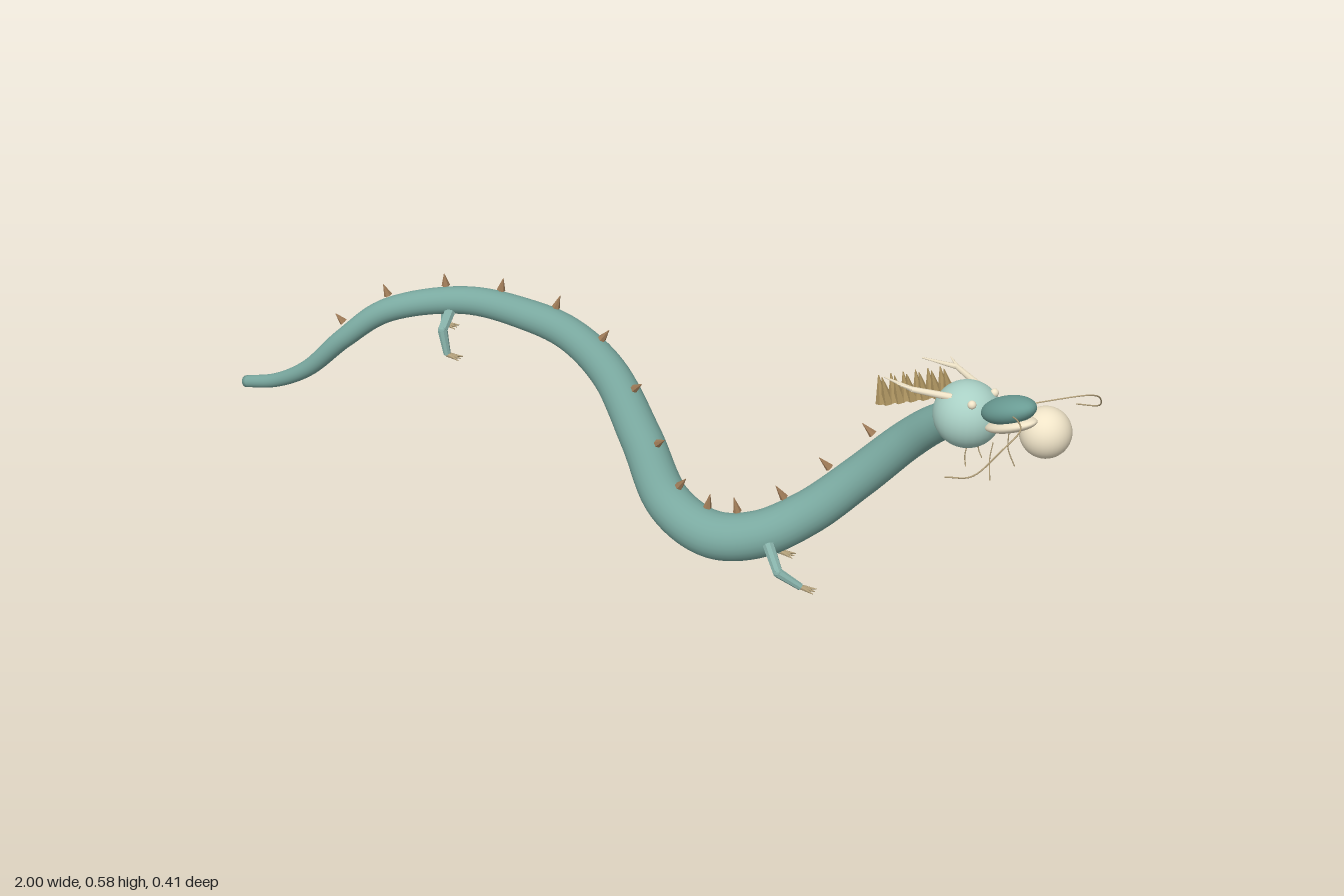
import * as THREE from 'three';

const V = (x, y, z) => new THREE.Vector3(x, y, z);
const UP = V(0, 1, 0);
const mat = (color, flatShading = false) => new THREE.MeshStandardMaterial({ color, flatShading });
const teal = mat(0x7aa9a0), paleTeal = mat(0xa9d0c5), darkTeal = mat(0x6a9c94);
const legTeal = mat(0x86b0a8, true), cream = mat(0xf0e4c8), tan = mat(0xb5a27c);
const brown = mat(0xa07c58, true), crestTan = mat(0xab925f, true);

// Body centreline: x, y, z, radius
const PATH = [
  [-1, 0.16, -0.035, 0.014], [-0.9, 0.2, -0.01, 0.016], [-0.8, 0.265, 0.01, 0.019], [-0.7, 0.365, 0.01, 0.023],
  [-0.6, 0.445, -0.015, 0.027], [-0.43, 0.482, -0.068, 0.031], [-0.3, 0.46, -0.102, 0.035],
  [-0.2, 0.425, -0.118, 0.038], [-0.1, 0.355, -0.11, 0.042], [0, 0.235, -0.065, 0.047],
  [0.09, 0.122, -0.015, 0.051], [0.2, 0.083, 0.008, 0.053], [0.3, 0.098, -0.008, 0.052],
  [0.4, 0.155, -0.052, 0.049], [0.5, 0.25, -0.09, 0.046], [0.6, 0.36, -0.1, 0.043],
  [0.67, 0.43, -0.08, 0.04], [0.74, 0.485, -0.045, 0.036],
];
const spine = new THREE.CatmullRomCurve3(PATH.map(p => V(p[0], p[1], p[2])));

function radiusAt(x) {
  let i = 0;
  while (i < PATH.length - 2 && x > PATH[i + 1][0]) i++;
  const a = PATH[i], b = PATH[i + 1];
  return THREE.MathUtils.lerp(a[3], b[3], THREE.MathUtils.clamp((x - a[0]) / (b[0] - a[0]), 0, 1));
}

// Point, side and upward normal of the body at curve parameter t
function frame(t) {
  const p = spine.getPoint(t), tangent = spine.getTangent(t);
  const side = V().crossVectors(tangent, UP).normalize();
  return { p, side, normal: V().crossVectors(side, tangent).normalize(), r: radiusAt(p.x) };
}

function paramAtX(x) {
  let lo = 0, hi = 1;
  for (let i = 0; i < 30; i++) {
    const mid = (lo + hi) / 2;
    if (spine.getPoint(mid).x < x) lo = mid; else hi = mid;
  }
  return lo;
}

function bodyGeometry(rings = 160, sides = 24) {
  const pos = [], index = [];
  for (let i = -1; i <= rings + 1; i++) {
    const { p, side, normal, r } = frame(THREE.MathUtils.clamp(i / rings, 0, 1));
    const k = i < 0 || i > rings ? 0 : r; // closed ends
    for (let j = 0; j < sides; j++) {
      const a = j / sides * Math.PI * 2;
      const q = p.clone().addScaledVector(side, Math.cos(a) * k).addScaledVector(normal, Math.sin(a) * k);
      pos.push(q.x, q.y, q.z);
    }
  }
  for (let i = 0; i < rings + 2; i++) for (let j = 0; j < sides; j++) {
    const a = i * sides + j, b = i * sides + (j + 1) % sides;
    index.push(a, a + sides, b, b, a + sides, b + sides);
  }
  const g = new THREE.BufferGeometry();
  g.setAttribute('position', new THREE.Float32BufferAttribute(pos, 3));
  g.setIndex(index);
  g.computeVertexNormals();
  return g;
}

function add(parent, name, geometry, material, position) {
  const m = new THREE.Mesh(geometry, material);
  m.name = name;
  if (position) m.position.copy(position);
  parent.add(m);
  return m;
}

// Tapered cylinder from a to b
function rod(parent, name, a, b, r0, r1, material, sides = 8) {
  const d = b.clone().sub(a);
  const m = add(parent, name, new THREE.CylinderGeometry(r1, r0, d.length(), sides), material,
    a.clone().add(b).multiplyScalar(0.5));
  m.quaternion.setFromUnitVectors(UP, d.normalize());
}

function strand(parent, name, points, r) {
  add(parent, name, new THREE.TubeGeometry(new THREE.CatmullRomCurve3(points), 32, r, 6), tan);
}

function ellipsoid(parent, name, position, sx, sy, sz, material) {
  add(parent, name, new THREE.SphereGeometry(1, 28, 20), material, position).scale.set(sx, sy, sz);
}

function addLeg(parent, name, hip, knee, foot) {
  const leg = new THREE.Group();
  leg.name = name;
  rod(leg, 'upperLeg', hip, knee, 0.013, 0.011, legTeal);
  rod(leg, 'lowerLeg', knee, foot, 0.011, 0.008, legTeal);
  add(leg, 'knee', new THREE.SphereGeometry(0.011, 8, 6), legTeal, knee);
  for (const s of [-1, 0, 1])
    rod(leg, 'claw', foot, foot.clone().add(V(0.033, -0.003, s * 0.011)), 0.006, 0.001, tan, 6);
  parent.add(leg);
}

export function createModel() {
  const model = new THREE.Group();
  model.name = 'serpentDragon';
  add(model, 'body', bodyGeometry(), teal);

  // Spikes standing just clear of the back
  for (const x of [-0.68, -0.585, -0.468, -0.36, -0.245, -0.147, -0.06, 0.015, 0.083, 0.18, 0.275, 0.383, 0.478, 0.565]) {
    const { p, normal, r } = frame(paramAtX(x));
    const base = p.clone().addScaledVector(normal, r * 1.22);
    rod(model, 'backSpike', base, base.clone().addScaledVector(normal, 0.02 + r * 0.3), 0.0095, 0.0005, brown, 6);
  }

  // Legs
  addLeg(model, 'frontLeftLeg', V(0.345, 0.105, 0.03), V(0.385, 0.07, 0.072), V(0.432, 0.037, 0.056));
  addLeg(model, 'frontRightLeg', V(0.275, 0.08, -0.04), V(0.285, 0.046, -0.093), V(0.322, 0.008, -0.1));
  addLeg(model, 'rearLeftLeg', V(-0.455, 0.47, -0.05), V(-0.453, 0.435, 0), V(-0.44, 0.38, 0.006));
  addLeg(model, 'rearRightLeg', V(-0.492, 0.465, -0.08), V(-0.51, 0.432, -0.125), V(-0.517, 0.38, -0.122));

  // Head: local +x points forward, with the pitched face inside it
  const head = new THREE.Group();
  head.name = 'head';
  head.position.set(0.745, 0.488, -0.045);
  head.rotation.y = -0.36;
  model.add(head);
  ellipsoid(head, 'skull', V(0, 0, 0), 0.072, 0.071, 0.071, paleTeal);
  const face = new THREE.Group();
  face.name = 'face';
  face.rotation.set(0, -0.08, 0.45);
  head.add(face);
  ellipsoid(face, 'snout', V(0.125, 0.003, 0), 0.071, 0.029, 0.041, darkTeal);
  ellipsoid(face, 'lowerJaw', V(0.12, -0.028, 0), 0.068, 0.015, 0.037, cream);

  for (const s of [-1, 1]) {
    ellipsoid(head, 'eye', V(0.038, 0.05, s * 0.036), 0.009, 0.009, 0.009, cream);
    strand(head, 'whisker', [V(0.129, 0.062, s * 0.03), V(0.178, 0.08, s * 0.065), V(0.214, 0.087, s * 0.106),
      V(0.21, 0.062, s * 0.157), V(0.18, 0.012, s * 0.202), V(0.118, -0.013, s * 0.211)], 0.0016);
    // Antlers
    rod(head, 'hornBase', V(-0.01, 0.05, s * 0.04), V(-0.09, 0.048, s * 0.07), 0.008, 0.006, cream);
    rod(head, 'hornTip', V(-0.09, 0.048, s * 0.07), V(-0.175, 0.04, s * 0.06), 0.006, 0.0015, cream);
    rod(head, 'hornBranch', V(-0.08, 0.048, s * 0.066), V(-0.12, 0.055, s * 0.085), 0.005, 0.001, cream);
    // Beard strands
    strand(head, 'beardStrand', [V(0.09, -0.02, s * 0.025), V(0.088, -0.06, s * 0.03), V(0.1, -0.1, s * 0.04)], 0.0013);
    strand(head, 'beardStrand', [V(0.02, -0.06, s * 0.02), V(0.018, -0.085, s * 0.022), V(0.025, -0.105, s * 0.026)], 0.0013);
  }

  // Crest of spikes behind the skull
  for (let i = 0; i < 12; i++) {
    const base = V(0.55, 0.452, -0.073).lerp(V(0.685, 0.488, -0.108), i / 11);
    const tip = base.clone().add(V(-0.014, 0.06, (i % 2 ? 1 : -1) * 0.008));
    rod(model, 'crestSpike', base, tip, 0.014, 0.001, crestTan, 6);
  }

  // Pearl held before the mouth
  add(model, 'pearl', new THREE.SphereGeometry(0.054, 32, 24), cream, V(0.913, 0.486, -0.043));
  return model;
}
